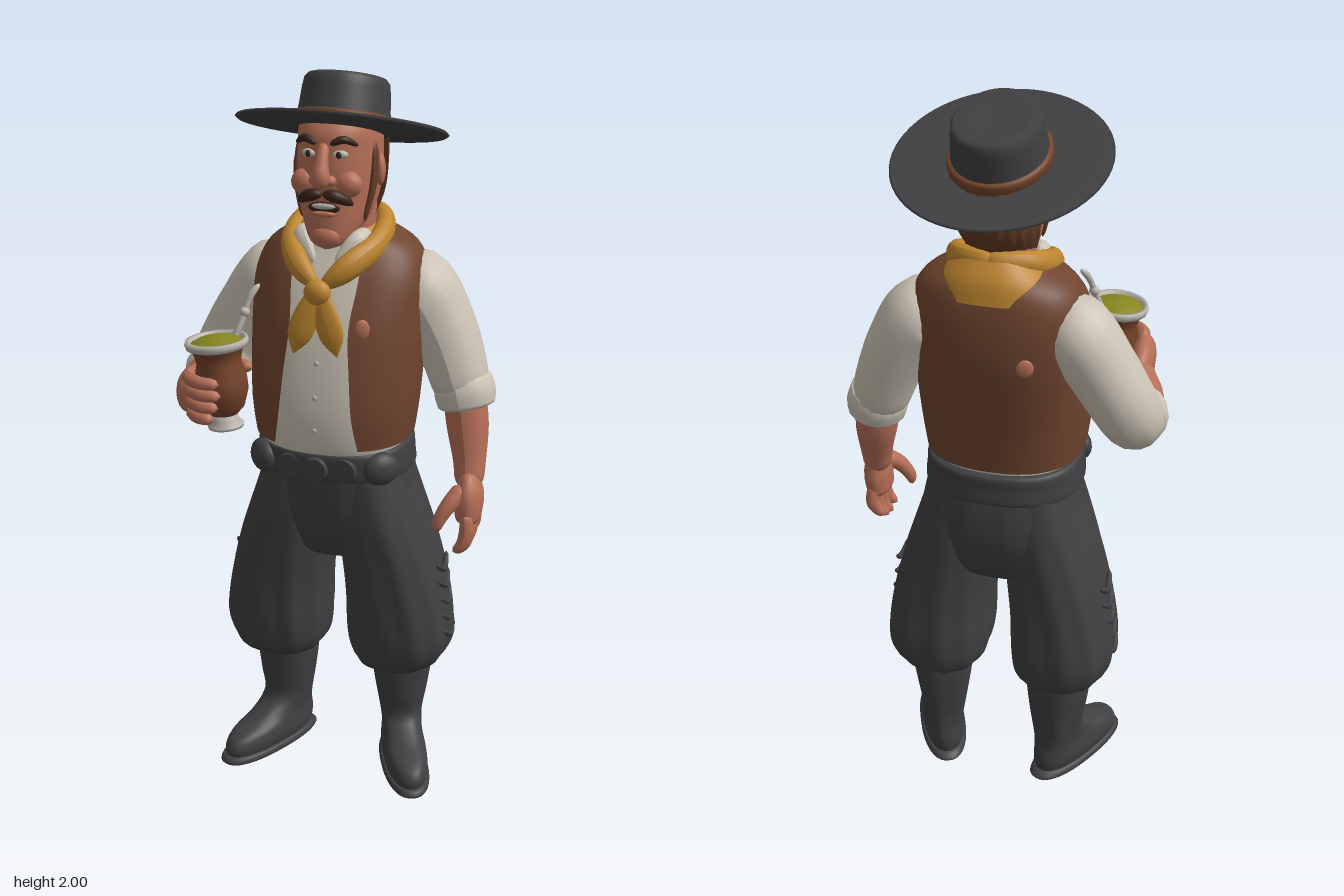
import * as THREE from 'three';

const mat = (name, color, side = THREE.FrontSide) => {
  const m = new THREE.MeshStandardMaterial({ color, side });
  m.name = name;
  return m;
};
const M = {
  black: mat('charcoal cloth', 0x404042, THREE.DoubleSide),
  skin: mat('skin', 0xb56f57),
  vest: mat('vest brown', 0x6f452f, THREE.DoubleSide),
  shirt: mat('shirt cream', 0xcbc3b5, THREE.DoubleSide),
  scarf: mat('scarf ochre', 0xbd852f, THREE.DoubleSide),
  hair: mat('hair brown', 0x643b25, THREE.DoubleSide),
  dark: mat('dark brown', 0x38241b),
  band: mat('leather band', 0x74432a),
  green: mat('tea green', 0x85861f),
  metal: mat('pale metal', 0xbab5ad),
};

// One-dimensional Catmull-Rom through the columns of a table
function sample(rows, u) {
  const n = rows.length - 1, i = Math.min(Math.floor(u * n), n - 1), t = u * n - i;
  const [a, b, c, d] = [i - 1, i, i + 1, i + 2].map(k => rows[Math.max(0, Math.min(n, k))]);
  return b.map((_, k) => b[k] + 0.5 * t * (c[k] - a[k]
    + t * (2 * a[k] - 5 * b[k] + 4 * c[k] - d[k] + t * (3 * (b[k] - c[k]) + d[k] - a[k]))));
}

// Stacked cross-sections, bottom to top: [y, centreX, halfWidth, frontZ, backZ, frontOpening]
function loft(rows, { grow = 0, p = 0.85, ripple = 0, folds = 9, from = 0, fall = 0, n = 48 } = {}) {
  const steps = (rows.length - 1) * 5, open = from > 0 || rows[0].length > 5;
  const pos = [], idx = [], w = open ? n + 1 : n;
  const pw = v => Math.sign(v) * Math.abs(v) ** p;
  for (let i = 0; i <= steps; i++) {
    const [y, cx, rx0, f, b, gap] = sample(rows, i / steps);
    const rx = Math.max(rx0, 0.001) + grow, rz = Math.max((f - b) / 2, 0.001) + grow;
    const a0 = gap !== undefined ? Math.asin((gap / rx) ** (1 / p)) : from;
    for (let j = 0; j < w; j++) {
      const a = a0 + (2 * Math.PI - 2 * a0) * j / n;
      const k = 1 + ripple * Math.sin(folds * a + y * 5) * Math.sin(Math.PI * i / steps);
      const z = (f + b) / 2 + rz * k * pw(Math.cos(a));
      pos.push(cx + rx * k * pw(Math.sin(a)), y - fall * (z + 0.2), z);
    }
  }
  for (let i = 0; i < steps; i++) for (let j = 0; j < n; j++) {
    const a = i * w + j, b = i * w + (j + 1) % w;
    idx.push(a, b, b + w, a, b + w, a + w);
  }
  const g = new THREE.BufferGeometry();
  g.setAttribute('position', new THREE.Float32BufferAttribute(pos, 3));
  g.setIndex(idx);
  g.computeVertexNormals();
  return g;
}

// Tapered tube through [x, y, z, radius] points with rounded ends
function limb(pts, squash = [1, 1, 1], seg = 24, radial = 16) {
  const v = pts.map(q => new THREE.Vector3(q[0], q[1], q[2]));
  const curve = new THREE.CatmullRomCurve3(v);
  const g = new THREE.TubeGeometry(curve, seg, 1, radial), P = g.attributes.position;
  const c = new THREE.Vector3(), o = new THREE.Vector3(), s = new THREE.Vector3(...squash);
  for (let i = 0; i <= seg; i++) {
    const t = i / seg;
    curve.getPoint(curve.getUtoTmapping(t), c);
    const e = Math.min(1, Math.min(t, 1 - t) * 6);
    const r = sample(pts, curve.getUtoTmapping(t))[3] * Math.sqrt(Math.max(0.001, 1 - (1 - e) ** 2));
    for (let j = 0; j <= radial; j++) {
      const k = i * (radial + 1) + j;
      o.fromBufferAttribute(P, k).sub(c).multiply(s).multiplyScalar(r).add(c);
      P.setXYZ(k, o.x, o.y, o.z);
    }
  }
  g.computeVertexNormals();
  return g;
}

const lathe = (pts, n = 48) => new THREE.LatheGeometry(pts.map(q => new THREE.Vector2(...q)), n);

export function createModel() {
  const root = new THREE.Group();
  const add = (name, geo, m, parent = root) => {
    const mesh = new THREE.Mesh(geo, m);
    mesh.name = name;
    parent.add(mesh);
    return mesh;
  };
  const ball = (name, m, [x, y, z], [sx, sy, sz], ry = 0) => {
    const b = add(name, new THREE.SphereGeometry(1, 20, 14), m);
    b.position.set(x, y, z); b.scale.set(sx, sy, sz); b.rotation.y = ry;
    return b;
  };

  // Torso: shirt with an open vest over it
  const torso = [
    [0.98, 0, 0.185, 0.14, -0.2, 0.11], [1.04, 0, 0.2, 0.158, -0.205, 0.115],
    [1.13, 0, 0.212, 0.162, -0.213, 0.1], [1.24, 0, 0.218, 0.148, -0.228, 0.09],
    [1.36, 0, 0.222, 0.12, -0.243, 0.08], [1.47, 0, 0.22, 0.075, -0.238, 0.09],
    [1.545, 0, 0.185, 0.035, -0.22, 0.09], [1.59, 0, 0.11, 0.02, -0.19, 0.08]];
  add('shirt', loft(torso.map(r => r.slice(0, 5))), M.shirt);
  add('vest', loft(torso.slice(1), { grow: 0.012 }), M.vest);
  [[1.09, 0.163], [1.18, 0.158], [1.27, 0.144]].forEach(([y, z]) =>
    ball('shirtButton', M.metal, [0, y, z], [0.007, 0.007, 0.004]));
  ball('vestPatchFront', M.skin, [0.115, 1.365, 0.118], [0.02, 0.027, 0.008], 0.4);
  ball('vestPatchBack', M.skin, [-0.11, 1.37, -0.243], [0.022, 0.024, 0.008], 0.3);

  // Neckerchief
  add('scarfDrape', loft([[1.52, 0, 0.168, 0.05, -0.242], [1.575, 0, 0.145, 0.05, -0.228],
    [1.625, 0, 0.1, 0.035, -0.195]], { from: 0.55, fall: 0.14 }), M.scarf);
  for (const s of [-1, 1]) {
    add('scarfRoll', limb([[0, 1.465, 0.125, 0.025], [s * 0.07, 1.52, 0.085, 0.036], [s * 0.118, 1.565, -0.02, 0.036],
      [s * 0.095, 1.605, -0.13, 0.032], [0, 1.615, -0.175, 0.03], [-s * 0.03, 1.615, -0.17, 0.02]], [0.8, 1, 0.8]), M.scarf);
    add('scarfTail', limb([[0, 1.47, 0.13, 0.02], [s * 0.025, 1.4, 0.142, 0.034], [s * 0.045, 1.345, 0.15, 0.032],
      [s * 0.06, 1.295, 0.155, 0.006]], [1, 1, 0.35]), M.scarf);
    add('collar', limb([[s * 0.085, 1.585, -0.02, 0.02], [s * 0.07, 1.57, 0.04, 0.026], [s * 0.03, 1.52, 0.075, 0.012]], [1, 1, 0.5]), M.shirt);
  }
  ball('scarfKnot', M.scarf, [0, 1.458, 0.135], [0.036, 0.034, 0.026]);

  // Head and neck
  add('neck', limb([[0, 1.46, -0.09, 0.09], [0, 1.55, -0.085, 0.09], [0, 1.68, -0.075, 0.09]]), M.skin);
  const skull = [[1.555, 0, 0.012, 0.065, 0.03], [1.572, 0, 0.05, 0.082, -0.03], [1.62, 0, 0.082, 0.083, -0.14],
    [1.68, 0, 0.098, 0.08, -0.19], [1.74, 0, 0.103, 0.086, -0.205], [1.8, 0, 0.104, 0.084, -0.208],
    [1.86, 0, 0.1, 0.075, -0.2], [1.91, 0, 0.07, 0.02, -0.17], [1.915, 0, 0, -0.07, -0.08]];
  add('head', loft(skull, { p: 0.9 }), M.skin);
  add('hair', loft(skull.slice(2, 7), { p: 0.9, grow: 0.012, from: 1.85, ripple: 0.02, folds: 24 }), M.hair);
  add('nose', limb([[0, 1.83, 0.078, 0.014], [0, 1.785, 0.1, 0.018], [0, 1.745, 0.108, 0.025], [0, 1.725, 0.095, 0.02]]), M.skin);
  ball('mouth', M.dark, [0, 1.666, 0.079], [0.042, 0.016, 0.008]);
  ball('teeth', M.metal, [0, 1.67, 0.084], [0.032, 0.008, 0.006]);
  ball('lowerLip', M.skin, [0, 1.65, 0.081], [0.032, 0.009, 0.011]);
  ball('chin', M.skin, [0, 1.59, 0.066], [0.04, 0.03, 0.026]);
  for (const s of [-1, 1]) {
    ball('nostril', M.skin, [s * 0.02, 1.738, 0.092], [0.016, 0.014, 0.018]);
    ball('cheek', M.skin, [s * 0.058, 1.725, 0.058], [0.036, 0.034, 0.03]);
    ball('eyeWhite', M.metal, [s * 0.042, 1.802, 0.075], [0.02, 0.011, 0.01], s * 0.3);
    ball('iris', M.dark, [s * 0.04, 1.802, 0.083], [0.008, 0.009, 0.005]);
    ball('ear', M.skin, [s * 0.108, 1.745, -0.055], [0.014, 0.042, 0.028], s * 0.3);
    add('eyebrow', limb([[s * 0.018, 1.828, 0.086, 0.007], [s * 0.05, 1.84, 0.078, 0.01], [s * 0.082, 1.823, 0.052, 0.005]]), M.dark);
    add('moustache', limb([[0, 1.704, 0.092, 0.01], [s * 0.03, 1.7, 0.093, 0.016], [s * 0.06, 1.685, 0.073, 0.012],
      [s * 0.072, 1.672, 0.058, 0.004]]), M.dark);
    add('sideburn', limb([[s * 0.101, 1.82, -0.03, 0.014], [s * 0.103, 1.72, -0.012, 0.015], [s * 0.084, 1.62, 0.005, 0.01]], [0.6, 1, 1]), M.hair);
  }

  // Wide hat, tipped back
  const hat = new THREE.Group();
  hat.name = 'hat';
  hat.position.set(0, 1.84, -0.068);
  hat.rotation.x = -0.3;
  root.add(hat);
  add('brim', lathe([[0, -0.006], [0.2, -0.005], [0.28, 0.001], [0.287, 0.006], [0.282, 0.011], [0.2, 0.008], [0, 0.008]], 64), M.black, hat)
    .scale.x = 0.96;
  const crown = add('crown', lathe([[0.142, 0], [0.135, 0.05], [0.13, 0.1], [0.126, 0.122], [0.116, 0.132], [0.08, 0.129], [0, 0.127]]), M.black, hat);
  const band = add('hatBand', lathe([[0.14, 0.008], [0.149, 0.012], [0.148, 0.03], [0.144, 0.036], [0.135, 0.037]]), M.band, hat);
  for (const part of [crown, band]) { part.scale.x = 0.87; part.position.z = -0.008; }

  // Baggy trousers
  add('trouserSeat', loft([[0.66, 0, 0.04, 0, -0.13], [0.7, 0, 0.17, 0.07, -0.2], [0.8, 0, 0.225, 0.115, -0.228],
    [0.9, 0, 0.215, 0.125, -0.226], [1.0, 0, 0.192, 0.13, -0.205], [1.035, 0, 0.18, 0.13, -0.2]], { ripple: 0.012, folds: 16 }), M.black);
  for (const s of [-1, 1]) {
    add('trouserLeg', loft([[0.34, s * 0.17, 0.06, 0.01, -0.17], [0.335, s * 0.172, 0.1, 0.04, -0.2],
      [0.37, s * 0.178, 0.132, 0.07, -0.228], [0.44, s * 0.181, 0.146, 0.088, -0.238], [0.56, s * 0.172, 0.14, 0.097, -0.23],
      [0.7, s * 0.148, 0.13, 0.108, -0.222], [0.82, s * 0.122, 0.117, 0.115, -0.215], [0.95, s * 0.1, 0.095, 0.11, -0.2]],
      { ripple: 0.025, folds: 11 }), M.black);
    for (let i = 0; i < 5; i++) {
      const y = 0.43 + i * 0.05, x = s * (0.326 - i * 0.006);
      add('legStitching', limb([[x - s * 0.008, y + 0.03, -0.02, 0.007], [x, y, -0.072, 0.009], [x - s * 0.008, y + 0.03, -0.125, 0.007]], [1, 1, 1], 10, 8), M.black);
    }
    // Boots with toes turned out
    const boot = new THREE.Group();
    boot.name = 'boot';
    boot.position.set(s * 0.175, 0, -0.1);
    boot.rotation.y = s * 0.42;
    root.add(boot);
    add('bootUpper', loft([[0.018, 0, 0.055, 0.25, -0.08], [0.045, 0, 0.062, 0.252, -0.085], [0.075, 0, 0.06, 0.225, -0.085],
      [0.105, 0, 0.056, 0.14, -0.08], [0.15, 0, 0.06, 0.075, -0.078], [0.22, 0, 0.072, 0.078, -0.085],
      [0.3, 0, 0.084, 0.085, -0.09], [0.37, 0, 0.088, 0.088, -0.09]], { ripple: 0.02, folds: 5 }), M.black, boot);
    add('bootSole', loft([[0, 0, 0.001, 0.11, 0.1], [0.001, 0, 0.06, 0.255, -0.088], [0.02, 0, 0.065, 0.262, -0.09],
      [0.026, 0, 0.05, 0.24, -0.07]]), M.black, boot);
  }

  // Belt with buckle and pouches
  add('belt', loft([[0.94, 0, 0.2, 0.13, -0.21], [0.945, 0, 0.214, 0.15, -0.225], [0.985, 0, 0.212, 0.156, -0.222],
    [1.02, 0, 0.208, 0.155, -0.22], [1.028, 0, 0.19, 0.13, -0.2]]), M.black);
  for (const x of [-0.075, 0, 0.075]) {
    const disc = add('beltBuckle', new THREE.CylinderGeometry(0.032, 0.036, 0.02, 24), M.black);
    disc.position.set(x, 0.98, 0.16 - Math.abs(x) * 0.2);
    disc.rotation.x = Math.PI / 2;
  }
  for (const s of [-1, 1]) {
    const pouch = ball('beltPouch', M.black, [s * 0.165, 0.98, 0.1], [0.052, 0.046, 0.032], s * 0.7);
    pouch.rotation.y = s * 0.75;
  }

  // Left arm hanging
  add('leftSleeve', limb([[0.12, 1.45, -0.11, 0.07], [0.195, 1.43, -0.118, 0.1], [0.262, 1.33, -0.122, 0.096],
    [0.312, 1.21, -0.113, 0.088], [0.34, 1.11, -0.1, 0.078]], [0.92, 1, 1.05]), M.shirt);
  add('leftCuff', limb([[0.325, 1.195, -0.112, 0.08], [0.337, 1.15, -0.106, 0.087], [0.348, 1.1, -0.1, 0.08]], [0.95, 1, 1]), M.shirt);
  add('leftForearm', limb([[0.335, 1.16, -0.1, 0.06], [0.352, 1.06, -0.088, 0.06], [0.367, 0.96, -0.06, 0.046], [0.372, 0.89, -0.035, 0.042]], [0.95, 1, 1]), M.skin);
  add('leftPalm', limb([[0.37, 0.95, -0.048, 0.04], [0.378, 0.88, -0.028, 0.062], [0.375, 0.8, -0.02, 0.055]], [0.6, 1, 1]), M.skin);
  for (let i = 0; i < 4; i++) {
    const z = 0.025 - i * 0.032, low = [0.735, 0.725, 0.732, 0.75][i];
    add('leftFinger', limb([[0.38, 0.85, z * 0.9, 0.017], [0.383, 0.795, z, 0.019], [0.372, low + 0.02, z + 0.004, 0.017], [0.35, low, z + 0.008, 0.013]], [1, 1, 1], 16, 10), M.skin);
  }
  add('leftThumb', limb([[0.368, 0.91, -0.01, 0.026], [0.335, 0.87, 0.03, 0.022], [0.312, 0.825, 0.048, 0.017], [0.308, 0.795, 0.05, 0.012]]), M.skin);

  // Right arm bent forward
  add('rightSleeve', limb([[-0.12, 1.45, -0.1, 0.07], [-0.195, 1.43, -0.112, 0.1], [-0.275, 1.33, -0.112, 0.096],
    [-0.34, 1.22, -0.1, 0.09], [-0.357, 1.165, -0.05, 0.083], [-0.352, 1.16, 0.005, 0.075]], [0.95, 1, 1]), M.shirt);
  add('rightCuff', limb([[-0.36, 1.16, -0.055, 0.076], [-0.355, 1.16, -0.02, 0.084], [-0.35, 1.16, 0.025, 0.076]], [0.95, 1, 1]), M.shirt);
  add('rightForearm', limb([[-0.355, 1.16, -0.03, 0.06], [-0.342, 1.163, 0.07, 0.062], [-0.318, 1.178, 0.16, 0.046], [-0.31, 1.19, 0.2, 0.045]]), M.skin);
  add('rightPalm', limb([[-0.315, 1.18, 0.14, 0.04], [-0.314, 1.195, 0.21, 0.062], [-0.306, 1.205, 0.29, 0.055]], [0.55, 1, 1]), M.skin);
  for (let i = 0; i < 4; i++) {
    const y = 1.25 - i * 0.033, end = [1.25, 1.2, 1.3, 1.5][i];
    const pts = [0, 1, 2, 3].map(k => {
      const a = Math.PI * 1.02 + (end - Math.PI * 1.02) * k / 3, r = 0.083 - i * 0.003;
      return [-0.225 + r * Math.cos(a), y, 0.247 + r * Math.sin(a), 0.019 - k * 0.001];
    });
    add('rightFinger', limb(pts, [1, 1, 1], 18, 10), M.skin);
  }
  add('rightThumb', limb([[-0.3, 1.205, 0.17, 0.03], [-0.26, 1.235, 0.163, 0.023], [-0.21, 1.25, 0.163, 0.02], [-0.165, 1.255, 0.185, 0.015]]), M.skin);

  // Gourd cup with drinking straw
  const cup = new THREE.Group();
  cup.name = 'gourdCup';
  cup.position.set(-0.212, 1.11, 0.25);
  cup.rotation.z = 0.09;
  root.add(cup);
  add('cupFoot', lathe([[0, 0], [0.046, 0], [0.048, 0.008], [0.034, 0.022], [0.036, 0.045], [0, 0.046]]), M.metal, cup);
  add('cupBody', lathe([[0.034, 0.035], [0.054, 0.055], [0.069, 0.1], [0.068, 0.135], [0.058, 0.175], [0.062, 0.2], [0.074, 0.222]]), M.band, cup);
  add('cupRim', lathe([[0.07, 0.215], [0.08, 0.219], [0.083, 0.23], [0.08, 0.239], [0.07, 0.238], [0.066, 0.222]]), M.metal, cup);
  add('tea', lathe([[0.071, 0.228], [0.05, 0.238], [0.025, 0.245], [0, 0.247]]), M.green, cup);
  add('straw', limb([[-0.21, 1.32, 0.21, 0.009], [-0.19, 1.37, 0.195, 0.009], [-0.176, 1.42, 0.18, 0.008],
    [-0.165, 1.45, 0.17, 0.009], [-0.148, 1.475, 0.155, 0.009]]), M.metal);
  ball('strawCollar', M.metal, [-0.18, 1.405, 0.184], [0.014, 0.014, 0.014]);

  return root;
}
